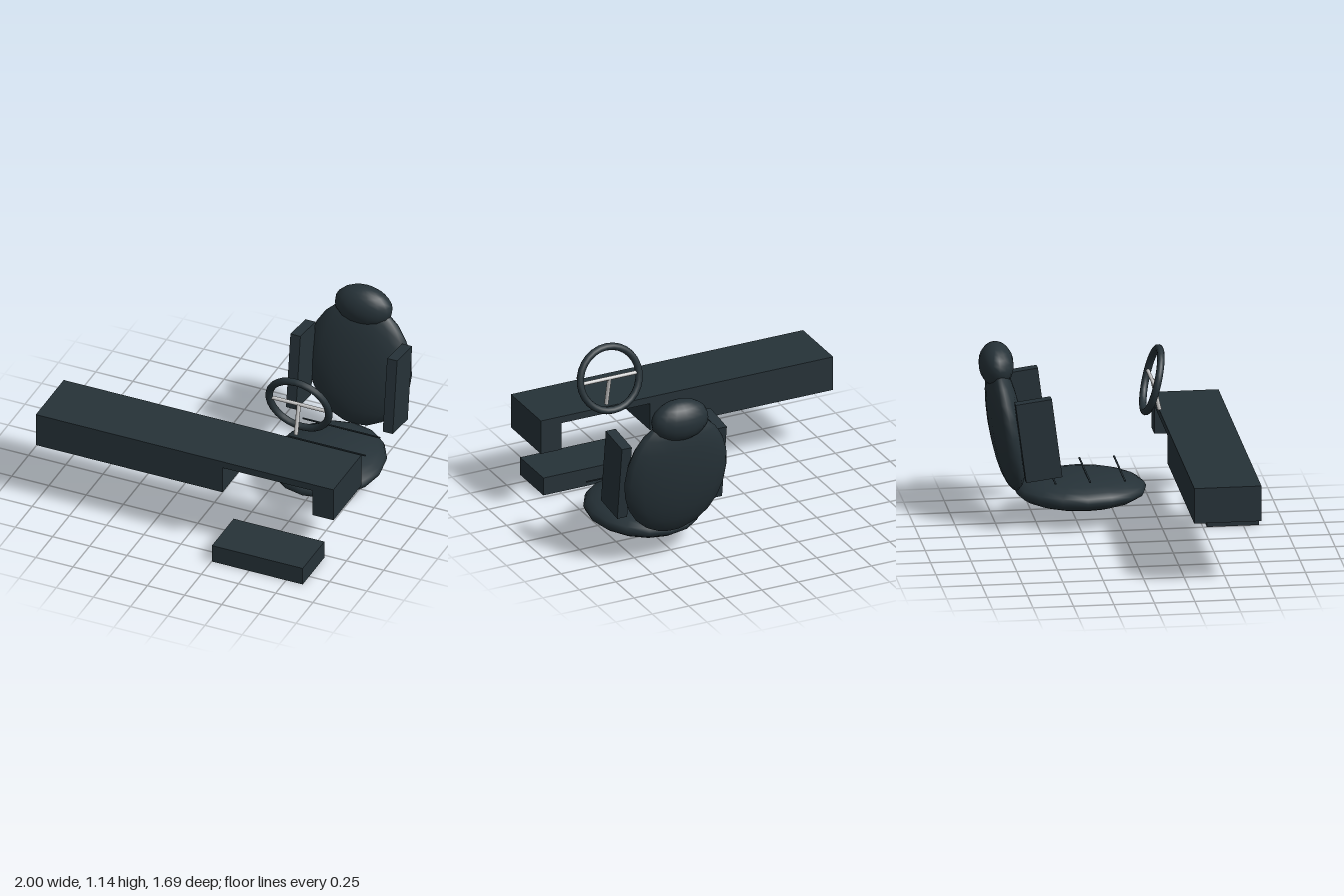
import * as THREE from 'three';

const DARK = new THREE.MeshStandardMaterial({ color: 0x263238 });
const METAL = new THREE.MeshStandardMaterial({ color: 0xcccccc });
const SEAT_X = 0.557; // driver's side centre line

function add(parent, name, geometry, material, [x, y, z], tilt = 0) {
  const mesh = new THREE.Mesh(geometry, material);
  mesh.name = name;
  mesh.position.set(x, y, z);
  mesh.rotation.x = tilt;
  parent.add(mesh);
  return mesh;
}

// Padded cushion: a squashed sphere
function cushion(parent, name, radii, position, tilt = 0) {
  const mesh = add(parent, name, new THREE.SphereGeometry(1, 16, 12), DARK, position, tilt);
  mesh.scale.set(...radii);
  return mesh;
}

function createDashboard() {
  // Front outline with a knee recess, extruded front to back
  const outline = new THREE.Shape([
    [-1, 0.42], [0.255, 0.42], [0.255, 0.6], [0.86, 0.6],
    [0.86, 0.42], [1, 0.42], [1, 0.645], [-1, 0.645],
  ].map(([x, y]) => new THREE.Vector2(x, y)));
  return new THREE.ExtrudeGeometry(outline, { depth: 0.415, bevelEnabled: false });
}

function createSeat() {
  const seat = new THREE.Group();
  seat.name = 'seat';
  cushion(seat, 'seatCushion', [0.35, 0.105, 0.405], [0, 0.188, -0.215]);
  cushion(seat, 'backrest', [0.35, 0.42, 0.103], [0, 0.617, -0.68], -0.15);
  cushion(seat, 'headrest', [0.19, 0.135, 0.107], [0, 1.005, -0.738]);

  // Side bolsters
  for (const side of [-1, 1]) {
    add(seat, side > 0 ? 'leftBolster' : 'rightBolster',
      new THREE.BoxGeometry(0.067, 0.505, 0.226), DARK, [side * 0.325, 0.61, -0.52], -0.13);
  }
  // Thin seams across the cushion
  for (const z of [0.025, -0.19, -0.405]) {
    add(seat, 'seatSeam', new THREE.BoxGeometry(0.52, 0.006, 0.01), DARK, [0, 0.301, z]);
  }
  return seat;
}

function createSteering() {
  const steering = new THREE.Group();
  steering.name = 'steeringWheel';
  add(steering, 'rim', new THREE.TorusGeometry(0.2, 0.023, 10, 28), DARK, [0, 0.863, 0.225], 0.25);
  const spoke = add(steering, 'crossSpoke',
    new THREE.CylinderGeometry(0.012, 0.012, 0.37, 10), METAL, [0, 0.865, 0.225]);
  spoke.rotation.z = Math.PI / 2;
  add(steering, 'column',
    new THREE.CylinderGeometry(0.013, 0.013, 0.2, 10), METAL, [0, 0.768, 0.25], -0.22);
  return steering;
}

export function createModel() {
  const model = new THREE.Group();
  model.name = 'cockpit';
  add(model, 'dashboard', createDashboard(), DARK, [0, 0, 0.28]);
  add(model, 'footrest', new THREE.BoxGeometry(0.61, 0.118, 0.322), DARK, [SEAT_X, 0.059, 0.685]);
  for (const part of [createSeat(), createSteering()]) {
    part.position.x = SEAT_X;
    model.add(part);
  }
  return model;
}
